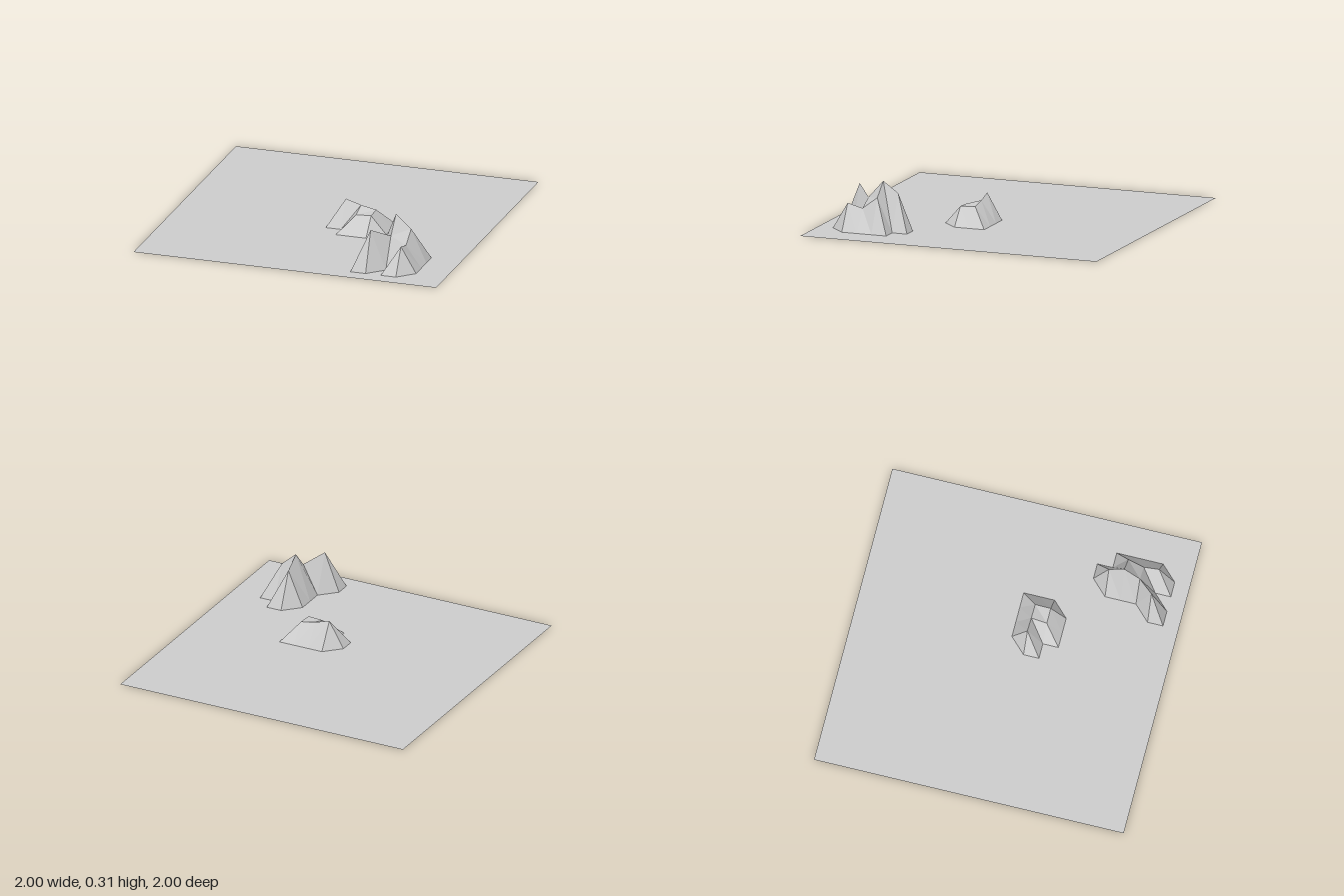
import * as THREE from 'three';

const SIZE = 2, CELLS = 20, STEP = SIZE / CELLS;

// Raised grid points as [x, z, height]
const lowHill = [
  [0.1, 0.1, 0.17], [0.2, 0.1, 0.14], [0.3, 0.1, 0.12],
  [0.2, 0.2, 0.11], [0.3, 0.2, 0.115],
];
const tallHill = [
  [0.6, 0.5, 0.235], [0.6, 0.6, 0.305], [0.7, 0.6, 0.217],
  [0.6, 0.7, 0.193], [0.7, 0.7, 0.142],
  [0.5, 0.8, 0.255], [0.7, 0.8, 0.168],
];

export function createModel() {
  const group = new THREE.Group();
  group.name = 'landscape';

  // Flat square sheet of cells, lying on the ground
  const geometry = new THREE.PlaneGeometry(SIZE, SIZE, CELLS, CELLS);
  geometry.rotateX(-Math.PI / 2);
  const position = geometry.attributes.position;
  for (let i = 0; i < position.count; i++) position.setY(i, 0);

  // Pull the hill points up out of the sheet
  for (const [x, z, height] of [...lowHill, ...tallHill]) {
    const column = Math.round((x + SIZE / 2) / STEP);
    const row = Math.round((z + SIZE / 2) / STEP);
    position.setY(row * (CELLS + 1) + column, height);
  }
  geometry.computeVertexNormals();

  const terrain = new THREE.Mesh(geometry, new THREE.MeshStandardMaterial({
    color: 0xcccccc, flatShading: true, side: THREE.DoubleSide,
  }));
  terrain.name = 'terrain';
  group.add(terrain);
  return group;
}
